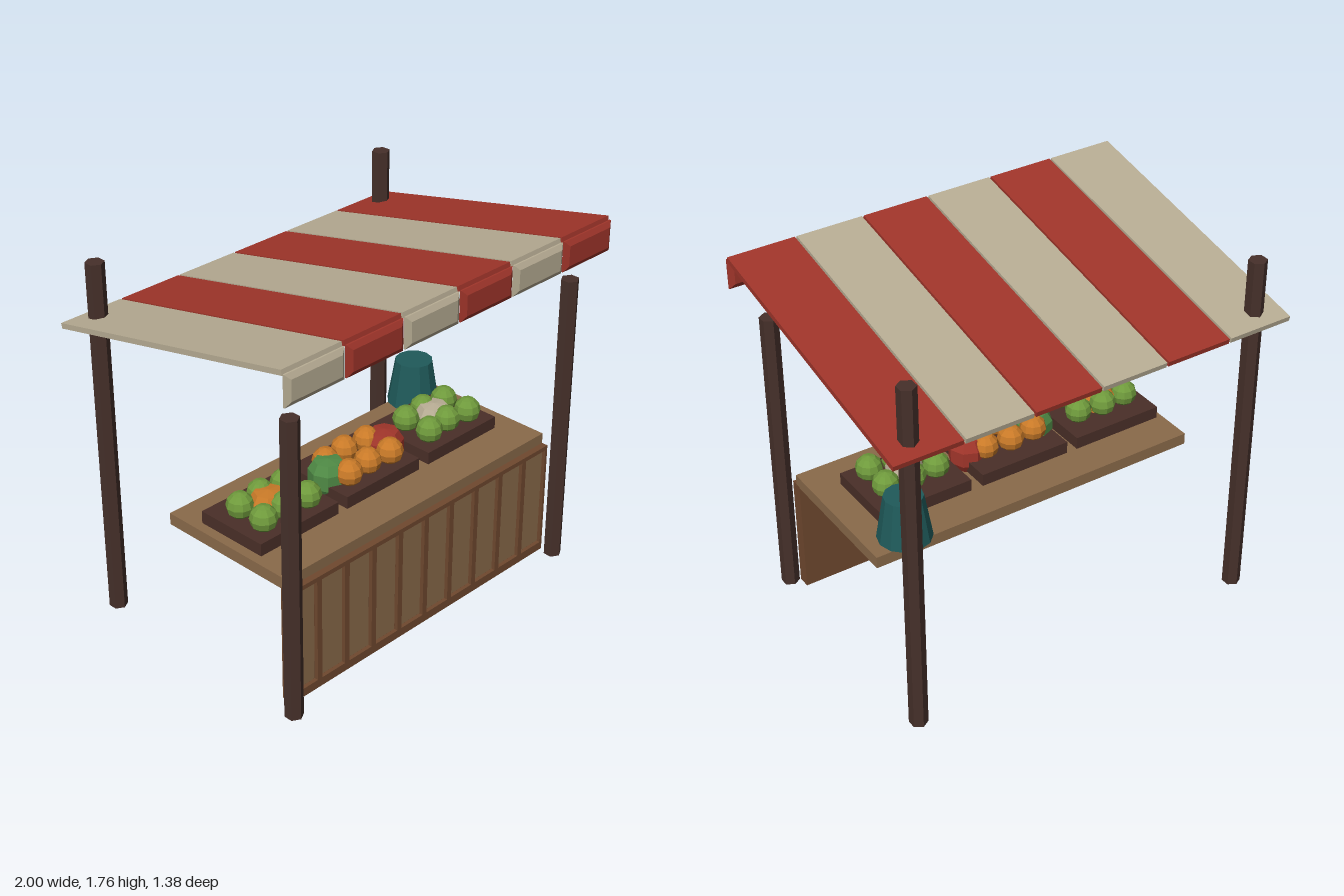
import * as THREE from 'three';

const mat = (color) => new THREE.MeshStandardMaterial({ color, flatShading: true });
const M = {
  post: mat(0x46302a), frame: mat(0x70492f), plank: mat(0x8a6a4a), crate: mat(0x4a2f28),
  red: mat(0xa0352a), cream: mat(0xb8ad94), green: mat(0x6f9a3c), orange: mat(0xc97a28),
  darkGreen: mat(0x4f8a45), teal: mat(0x1f5a5a),
};

export function createModel() {
  const root = new THREE.Group();
  const add = (name, geo, material, x = 0, y = 0, z = 0, parent = root) => {
    const m = new THREE.Mesh(geo, material);
    m.name = name;
    m.position.set(x, y, z);
    parent.add(m);
    return m;
  };
  const box = (w, h, d) => new THREE.BoxGeometry(w, h, d);
  const group = (name) => {
    const g = new THREE.Group();
    g.name = name;
    root.add(g);
    return g;
  };
  const rect = (target, x0, y0, x1, y1) => {
    target.moveTo(x0, y0);
    target.lineTo(x1, y0);
    target.lineTo(x1, y1);
    target.lineTo(x0, y1);
    target.closePath();
    return target;
  };

  // Hexagonal posts: short in front, tall at the back
  for (const s of [-1, 1]) {
    const side = s > 0 ? 'left' : 'right';
    add(side + 'FrontPost', new THREE.CylinderGeometry(0.043, 0.043, 1.465, 6), M.post, s * 0.873, 0.7325, 0.57);
    add(side + 'BackPost', new THREE.CylinderGeometry(0.043, 0.043, 1.75, 6), M.post, s * 0.873, 0.875, -0.597);
  }

  // Sloping awning strips, each with a bevelled flap at the front
  const awning = group('awning');
  const flapShape = rect(new THREE.Shape(), -0.138, -0.048, 0.138, 0.048);
  const flapGeo = new THREE.ExtrudeGeometry(flapShape, {
    depth: 0.008, bevelEnabled: true, bevelThickness: 0.014, bevelSize: 0.024, bevelSegments: 1,
  });
  for (let i = 0; i < 6; i++) {
    const x = -0.8375 + i * 0.335;
    const material = i % 2 ? M.red : M.cream;
    const strip = add('awningStrip', box(0.325, 0.025, 1.382), material, x, 1.604, -0.014, awning);
    strip.rotation.x = -0.208;
    add('awningFlap', flapGeo, material, x, 1.67, 0.668, awning);
  }

  // Counter front: a framed board with ten recessed planks
  const counter = group('counter');
  const frame = rect(new THREE.Shape(), -0.84, 0.018, 0.84, 0.597);
  for (let i = 0; i < 10; i++) {
    const x = -0.756 + i * 0.168;
    frame.holes.push(rect(new THREE.Path(), x - 0.07, 0.06, x + 0.07, 0.575));
    add('plank', box(0.122, 0.497, 0.012), M.plank, x, 0.3175, 0.51, counter);
  }
  add('counterBoard', box(1.68, 0.579, 0.041), M.frame, 0, 0.3075, 0.4875, counter);
  add('counterFrame', new THREE.ExtrudeGeometry(frame, { depth: 0.02, bevelEnabled: false }), M.frame, 0, 0, 0.507, counter);
  add('counterTop', box(1.68, 0.057, 0.725), M.plank, 0, 0.62, 0.132, counter);

  // Trays, each holding two rows of three small fruits
  const fruitGeo = new THREE.SphereGeometry(0.064, 10, 6);
  const trays = [[-0.57, M.green], [-0.05, M.orange], [0.477, M.green]];
  for (const [x, material] of trays) {
    const tray = group('fruitTray');
    add('tray', box(0.465, 0.06, 0.37), M.crate, x, 0.688, 0.125, tray);
    for (const z of [0.075, 0.222])
      for (const col of [-1, 0, 1]) {
        const f = add('smallFruit', fruitGeo, material, x + col * 0.131, 0.764, z - (col ? 0 : 0.012), tray);
        f.rotation.y = col * 0.3 + z;
      }
  }

  // Large flat-bottomed fruits set among the trays
  const bigProfile = [[0, 0], [0.064, 0], [0.09, 0.042], [0.09, 0.115], [0.064, 0.157], [0, 0.165]]
    .map(([r, y]) => new THREE.Vector2(r, y));
  const bigGeo = new THREE.LatheGeometry(bigProfile, 8);
  for (const [x, material] of [[-0.585, M.orange], [-0.222, M.darkGreen], [0.143, M.red], [0.477, M.cream]])
    add('largeFruit', bigGeo, material, x, 0.65, 0.13);

  // Upturned bucket at the back corner of the counter
  add('bucket', new THREE.CylinderGeometry(0.09, 0.126, 0.218, 12), M.teal, 0.657, 0.759, -0.163);

  return root;
}
